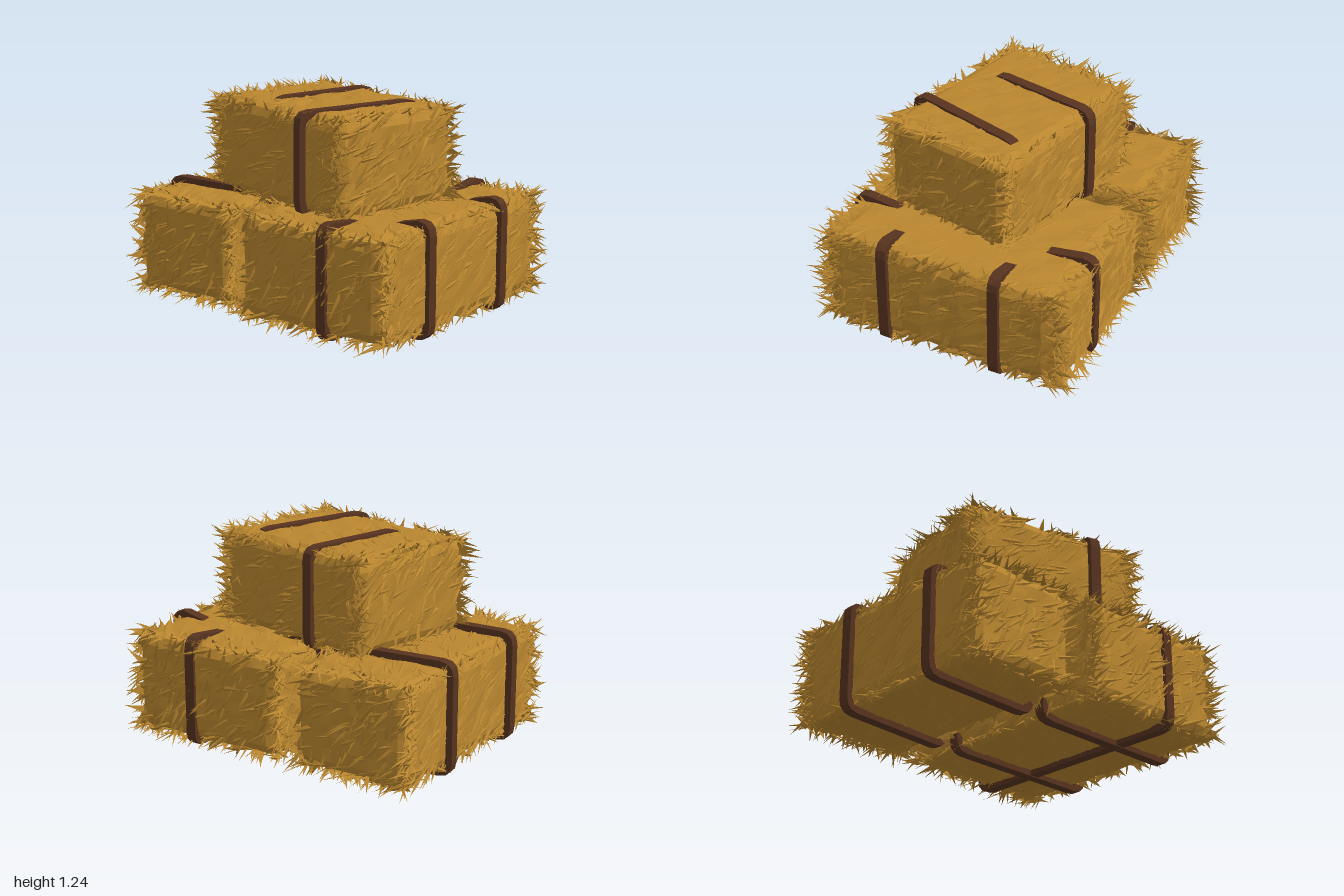
import * as THREE from 'three';

const hay = new THREE.MeshStandardMaterial({ color: 0xb9862f, flatShading: true });
hay.name = 'hay';
const strapBrown = new THREE.MeshStandardMaterial({ color: 0x57331f, flatShading: true });
strapBrown.name = 'strapBrown';

const V = (x = 0, y = 0, z = 0) => new THREE.Vector3(x, y, z);

// Small seeded generator
function makeRandom(seed) {
  let s = seed;
  return () => {
    s = (s * 1664525 + 1013904223) % 4294967296;
    return s / 4294967296;
  };
}

// Compressed bale body: box with rounded edges and a lumpy surface
function baleCore(half) {
  const g = new THREE.BoxGeometry(half.x * 2, half.y * 2, half.z * 2, 12, 8, 12);
  const p = g.attributes.position;
  const r = 0.09;
  const inner = half.clone().subScalar(r);
  for (let i = 0; i < p.count; i++) {
    const v = V().fromBufferAttribute(p, i);
    const c = v.clone().clamp(inner.clone().negate(), inner);
    const d = v.clone().sub(c);
    const lump = 0.007 * Math.sin(v.x * 23 + v.y * 17 + 1) * Math.cos(v.z * 19 - v.y * 11);
    v.copy(c).addScaledVector(d.normalize(), r + lump);
    p.setXYZ(i, v.x, v.y, v.z);
  }
  g.computeVertexNormals();
  return g;
}

// One straw: a flattened three-sided spindle, pointed at both ends
function addStraw(out, centre, dir, normal, length, width, limit) {
  const d = dir.clone().normalize();
  const s = V().crossVectors(d, normal).normalize();
  const n = V().crossVectors(s, d);
  const low = limit.clone().negate();
  const tail = centre.clone().addScaledVector(d, -length * 0.45).clamp(low, limit);
  const tip = centre.clone().addScaledVector(d, length * 0.55).clamp(low, limit);
  const mid = tail.clone().lerp(tip, 0.4);
  const ring = [0, 1, 2].map((k) => {
    const a = (k * Math.PI * 2) / 3;
    return mid.clone().addScaledVector(n, Math.cos(a) * width * 0.35).addScaledVector(s, Math.sin(a) * width);
  });
  for (let k = 0; k < 3; k++) {
    const a = ring[k], b = ring[(k + 1) % 3];
    for (const v of [a, b, tip, b, a, tail]) out.push(v.x, v.y, v.z);
  }
}

// Straw lying over the faces, then tufts bristling from the end edges
function strawCover(half, long, seed) {
  const rnd = makeRandom(seed);
  const spread = (k) => (rnd() * 2 - 1) * k;
  const out = [];
  const limit = half.clone().addScalar(0.04).setComponent(long, half.getComponent(long) + 0.13);
  limit.y = half.y + 0.03;

  for (let axis = 0; axis < 3; axis++) for (const sign of [-1, 1]) {
    const normal = V().setComponent(axis, sign);
    const up = axis === 1 ? V(0, 0, -1) : V(0, 1, 0);
    const right = V().crossVectors(up, normal);
    const [i, j] = [0, 1, 2].filter((k) => k !== axis);
    const area = 4 * half.getComponent(i) * half.getComponent(j);
    const density = axis === 1 ? 75 : axis === long ? 260 : 230;
    for (let k = 0; k < area * density; k++) {
      const c = V();
      c.setComponent(axis, sign * (half.getComponent(axis) - 0.002));
      c.setComponent(i, spread(half.getComponent(i) * 0.93));
      c.setComponent(j, spread(half.getComponent(j) * 0.93));
      const angle = 0.75 + spread(0.6) + (rnd() < 0.3 ? Math.PI : 0);
      const d = right.clone().multiplyScalar(Math.cos(angle)).addScaledVector(up, Math.sin(angle));
      d.addScaledVector(normal, axis === long ? 0.05 + rnd() * 0.35 : spread(0.1));
      addStraw(out, c, d, normal, 0.12 + rnd() * 0.17, 0.011 + rnd() * 0.014, limit);
    }
  }

  const others = [0, 1, 2].filter((k) => k !== long);
  for (const end of [-1, 1]) for (const side of others) for (const sign of [-1, 1]) {
    const along = others.find((k) => k !== side);
    for (let k = 0; k < 65; k++) {
      const c = V();
      c.setComponent(long, end * (half.getComponent(long) - 0.02 - rnd() * rnd() * 0.16));
      c.setComponent(side, sign * (half.getComponent(side) - 0.015));
      c.setComponent(along, spread(half.getComponent(along) * 0.97));
      const d = V().setComponent(long, end * (0.4 + rnd() * 0.8));
      d.setComponent(side, sign * (spread(0.5) + 0.25));
      d.setComponent(along, spread(0.9));
      const normal = V().setComponent(side, sign);
      addStraw(out, c, d, normal, 0.13 + rnd() * 0.15, 0.011 + rnd() * 0.012, limit);
    }
  }

  // Sparse tufts on the long edges
  for (const sa of [-1, 1]) for (const sb of [-1, 1]) for (let k = 0; k < 40; k++) {
    const c = V().setComponent(long, spread(half.getComponent(long)));
    c.setComponent(others[0], sa * (half.getComponent(others[0]) - 0.02));
    c.setComponent(others[1], sb * (half.getComponent(others[1]) - 0.02));
    const d = V().setComponent(long, spread(1));
    d.setComponent(others[0], sa * spread(0.5)).setComponent(others[1], sb * spread(0.5));
    addStraw(out, c, d, V().setComponent(others[1], sb), 0.1 + rnd() * 0.12, 0.01 + rnd() * 0.01, limit);
  }

  const g = new THREE.BufferGeometry();
  g.setAttribute('position', new THREE.Float32BufferAttribute(out, 3));
  g.computeVertexNormals();
  return g;
}

// Rounded rectangle whose top side may sag in the middle
function roundedLoop(target, w, h, r, sag) {
  target.moveTo(-w + r, -h);
  target.lineTo(w - r, -h);
  target.quadraticCurveTo(w, -h, w, -h + r);
  target.lineTo(w, h - r);
  target.quadraticCurveTo(w, h, w - r, h);
  target.lineTo(w * 0.6, h - sag * 0.5);
  target.lineTo(w * 0.45, h - sag);
  target.lineTo(-w * 0.45, h - sag);
  target.lineTo(-w * 0.6, h - sag * 0.5);
  target.lineTo(-w + r, h);
  target.quadraticCurveTo(-w, h, -w, h - r);
  target.lineTo(-w, -h + r);
  target.quadraticCurveTo(-w, -h, -w + r, -h);
  return target;
}

// Flat strap wrapped round the bale as a closed band
function strap(w, h, name, x, z, turn, sag = 0) {
  const shape = roundedLoop(new THREE.Shape(), w, h, 0.085, sag);
  shape.holes.push(roundedLoop(new THREE.Path(), w - 0.04, h - 0.04, 0.06, sag));
  const g = new THREE.ExtrudeGeometry(shape, { depth: 0.064, bevelEnabled: false, curveSegments: 3 });
  g.translate(0, 0, -0.032);
  const m = new THREE.Mesh(g, strapBrown);
  m.name = name;
  m.position.set(x, 0, z);
  m.rotation.y = turn;
  return m;
}

function bale(name, half, centre, long, seed, straps) {
  const group = new THREE.Group();
  group.name = name;
  group.position.copy(centre);
  const core = new THREE.Mesh(baleCore(half), hay);
  core.name = 'baleCore';
  const straw = new THREE.Mesh(strawCover(half, long, seed), hay);
  straw.name = 'looseStraw';
  group.add(core, straw, ...straps);
  return group;
}

export function createModel() {
  const model = new THREE.Group();
  model.name = 'hayBaleStack';
  const quarter = Math.PI / 2;

  // Front bale with two cross straps and one lengthwise strap
  model.add(bale('frontBale', V(0.765, 0.305, 0.52), V(-0.01, 0.345, 0.425), 0, 11, [
    strap(0.55, 0.34, 'leftStrap', 0.35, 0, quarter, 0.06),
    strap(0.55, 0.34, 'rightStrap', -0.36, 0, quarter, 0.06),
    strap(0.785, 0.335, 'lengthwiseStrap', 0, 0.1, 0, 0.06),
  ]));

  // Back bale
  model.add(bale('backBale', V(0.735, 0.3, 0.37), V(0.02, 0.345, -0.58), 0, 47, [
    strap(0.405, 0.338, 'leftStrap', 0.32, -0.005, quarter + 0.07),
    strap(0.405, 0.338, 'rightStrap', -0.38, -0.005, quarter + 0.03),
  ]));

  // Top bale, turned, with straps slipped to either side
  const top = bale('topBale', V(0.435, 0.29, 0.58), V(-0.045, 0.925, 0.005), 2, 83, [
    strap(0.37, 0.305, 'backStrap', 0.095, -0.19, -0.03),
    strap(0.415, 0.305, 'frontStrap', -0.067, 0.31, -0.11),
  ]);
  top.rotation.y = -0.2;
  model.add(top);
  return model;
}
